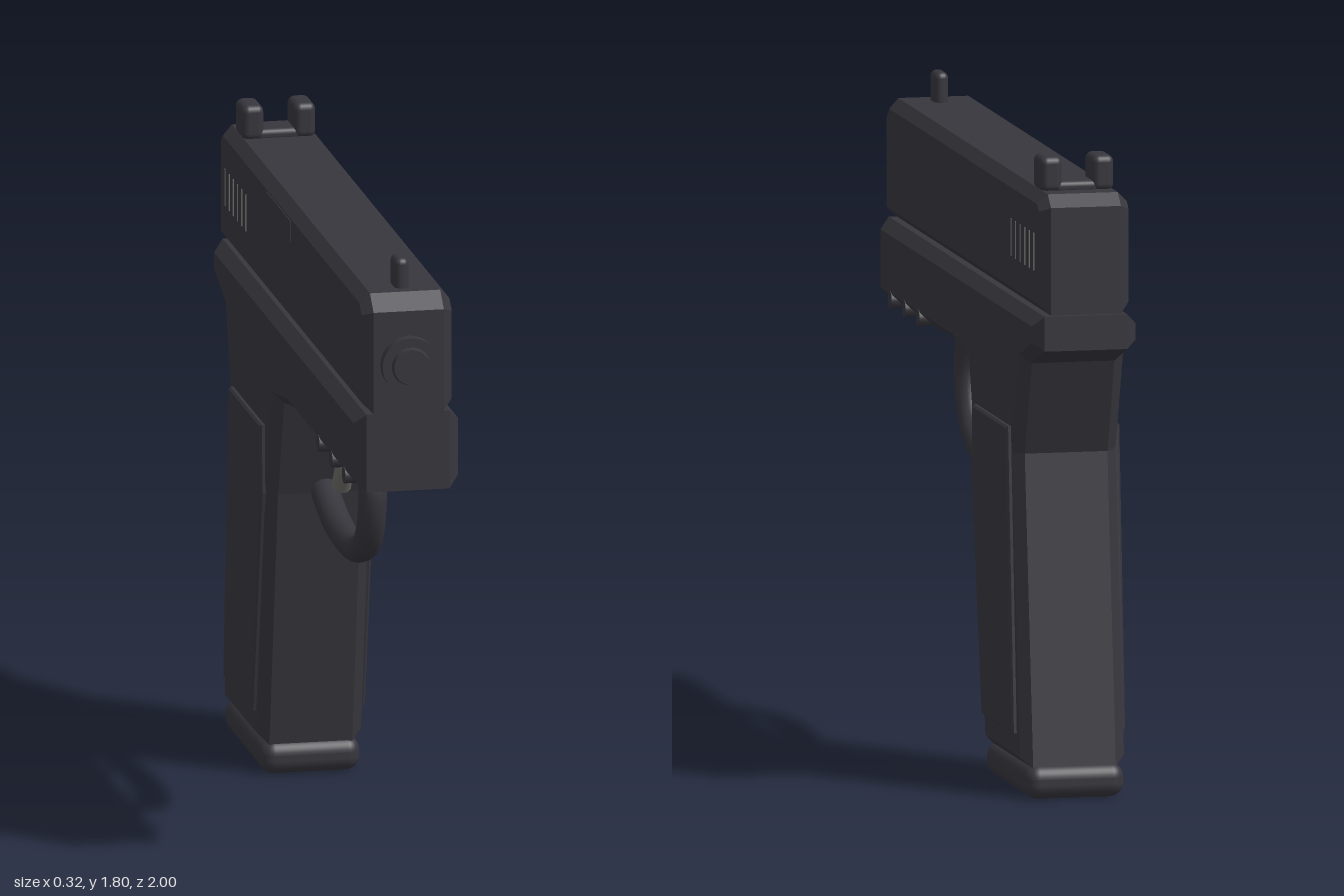
import * as THREE from 'three';
import { RoundedBoxGeometry } from 'three/addons/geometries/RoundedBoxGeometry.js';

const paint = (name, color) => {
  const m = new THREE.MeshStandardMaterial({ color });
  m.name = name;
  return m;
};

export function createModel() {
  const model = new THREE.Group();
  const dark = paint('dark polymer', 0x37363d);
  const grey = paint('grey steel', 0x6e6d69);

  const add = (name, geometry, material, x = 0, y = 0, z = 0) => {
    const mesh = new THREE.Mesh(geometry, material);
    mesh.name = name;
    mesh.position.set(x, y, z);
    model.add(mesh);
    return mesh;
  };

  // Side profile of [z, y] points, extruded across x with an inset chamfer
  const profile = (points, width, bevel) => {
    const shape = new THREE.Shape(points.map(([z, y]) => new THREE.Vector2(z, y)));
    const depth = width - 2 * bevel;
    const g = new THREE.ExtrudeGeometry(shape, {
      depth, bevelEnabled: true, bevelSize: bevel, bevelThickness: bevel,
      bevelOffset: -bevel, bevelSegments: 1,
    });
    return g.translate(0, 0, -depth / 2).rotateY(-Math.PI / 2);
  };

  // Round bar bent through [z, y] points, with closed ends
  const bar = (name, points, radius, material) => {
    const curve = new THREE.CatmullRomCurve3(points.map(([z, y]) => new THREE.Vector3(0, y, z)));
    add(name, new THREE.TubeGeometry(curve, 40, radius, 16), material);
    [0, 1].forEach((t) => {
      const cap = add(name + 'End', new THREE.CircleGeometry(radius, 16), material);
      cap.position.copy(curve.getPoint(t));
      const out = curve.getTangent(t).multiplyScalar(t ? 1 : -1);
      cap.quaternion.setFromUnitVectors(new THREE.Vector3(0, 0, 1), out);
    });
  };

  // Slide and frame
  add('slide', profile([
    [0.955, 1.37], [0.955, 1.66], [0.905, 1.703], [-0.96, 1.703], [-1, 1.67], [-1, 1.37],
  ], 0.254, 0.028), dark);
  add('frame', profile([
    [0.945, 1.367], [0.945, 1.145], [0.02, 1.145], [-0.165, 1.115], [-0.25, 0.83],
    [-0.367, 0.085], [-0.858, 0.085], [-0.752, 0.95], [-0.84, 1.215], [-1, 1.27], [-1, 1.367],
  ], 0.294, 0.03), dark);

  // Muzzle: stepped rings at the front
  add('muzzleRing', new THREE.CylinderGeometry(0.08, 0.08, 0.05, 32).rotateX(Math.PI / 2), dark, 0, 1.51, 0.96);
  add('muzzleTip', new THREE.CylinderGeometry(0.05, 0.06, 0.04, 32).rotateX(Math.PI / 2), dark, 0, 1.51, 0.98);

  // Sights
  add('frontSight', new RoundedBoxGeometry(0.04, 0.1, 0.08, 3, 0.018), dark, 0, 1.737, 0.83);
  add('rearSightBase', new RoundedBoxGeometry(0.13, 0.035, 0.1, 3, 0.015), dark, 0, 1.71, -0.845);

  // Base plate under the grip
  add('basePlate', new RoundedBoxGeometry(0.282, 0.095, 0.53, 4, 0.04), dark, 0, 0.0475, -0.615);

  // Guard, trigger
  bar('triggerGuard', [
    [0.425, 1.17], [0.467, 1.0], [0.41, 0.87], [0.28, 0.808], [0.12, 0.795], [-0.04, 0.812], [-0.175, 0.855],
  ], 0.04, dark);
  bar('trigger', [[0.07, 1.17], [0.092, 1.06], [0.085, 0.99], [0.045, 0.925]], 0.027, grey);

  // Cross pins under the front of the frame
  [0.79, 0.617, 0.442].forEach((z) => {
    add('crossPin', new THREE.CylinderGeometry(0.024, 0.024, 0.298, 16).rotateZ(Math.PI / 2), dark, 0, 1.158, z);
  });

  // Mirrored parts: rear sight posts, grip panels, slide ribs
  const panel = profile([
    [-0.285, 1.022], [-0.712, 1.022], [-0.785, 0.175], [-0.402, 0.175], [-0.278, 0.83],
  ], 0.03, 0.006);
  [-1, 1].forEach((side) => {
    add('rearSightPost', new RoundedBoxGeometry(0.062, 0.1, 0.11, 3, 0.02), dark, side * 0.073, 1.747, -0.845);
    add('gripPanel', panel, dark, side * 0.146, 0, 0);
    for (let i = 0; i < 6; i++) {
      add('slideRib', new THREE.BoxGeometry(0.008, 0.105, 0.006), grey, side * 0.1255, 1.537, -0.63 - i * 0.0565);
    }
  });

  // Port cover on one side of the slide
  add('portCover', new THREE.BoxGeometry(0.009, 0.06, 0.32), dark, -0.125, 1.64, -0.19);

  return model;
}
